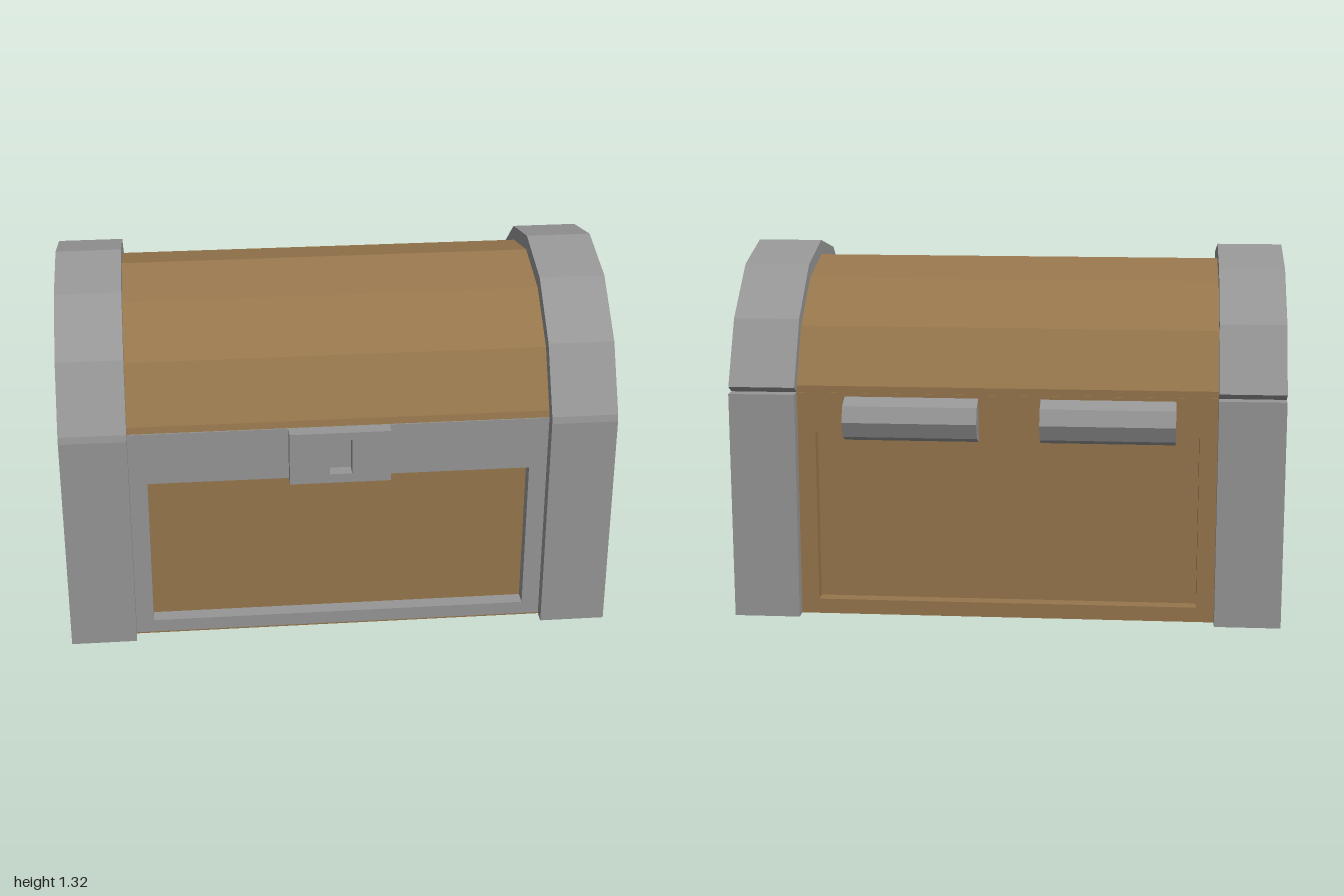
import * as THREE from 'three';

const metal = new THREE.MeshStandardMaterial({ color: 0x969696 });
metal.name = 'grey metal';
const wood = new THREE.MeshStandardMaterial({ color: 0x96764c });
wood.name = 'brown wood';

function rectPath(path, a0, a1, b0, b1) {
  path.moveTo(a0, b0);
  path.lineTo(a1, b0);
  path.lineTo(a1, b1);
  path.lineTo(a0, b1);
  path.closePath();
  return path;
}

// Rectangle with a rectangular opening, each given as [min, max, bottom, top]
function frameShape(outer, hole) {
  const shape = rectPath(new THREE.Shape(), ...outer);
  shape.holes.push(rectPath(new THREE.Path(), ...hole));
  return shape;
}

// Extrude an XY shape between two z positions
function extrudeZ(shape, z0, z1) {
  const g = new THREE.ExtrudeGeometry(shape, { depth: z1 - z0, bevelEnabled: false });
  return g.translate(0, 0, z0);
}

// Extrude a (z, y) shape between two x positions
function extrudeX(shape, x0, x1) {
  const g = new THREE.ExtrudeGeometry(shape, { depth: x1 - x0, bevelEnabled: false });
  return g.rotateY(-Math.PI / 2).translate(x1, 0, 0);
}

function box(x0, x1, y0, y1, z0, z1) {
  return new THREE.BoxGeometry(x1 - x0, y1 - y0, z1 - z0)
    .translate((x0 + x1) / 2, (y0 + y1) / 2, (z0 + z1) / 2);
}

const profile = (points) => new THREE.Shape(points.map(([z, y]) => new THREE.Vector2(z, y)));

export function createModel() {
  const group = new THREE.Group();
  const add = (name, geometry, material) => {
    const mesh = new THREE.Mesh(geometry, material);
    mesh.name = name;
    group.add(mesh);
  };

  const inner = 0.76, rim = 0.835, front = 0.57, back = -0.545;

  // Wooden body with a metal front frame and a wooden back frame
  add('body', box(-inner, inner, 0.005, rim, back + 0.05, front - 0.055), wood);
  add('floor', box(-inner, inner, 0, 0.005, back, front), wood);
  add('frontFrame', extrudeZ(
    frameShape([-inner, inner, 0.005, rim], [-0.695, 0.695, 0.055, 0.635]), front - 0.055, front), metal);
  add('backFrame', extrudeZ(
    frameShape([-inner, inner, 0.005, rim], [-0.695, 0.695, 0.055, 0.69]), back, back + 0.05), wood);

  // Faceted barrel lid
  add('lid', extrudeX(profile([
    [0.565, rim], [0.56, 0.86], [0.445, 1.06], [0.25, 1.21], [0.01, 1.265],
    [-0.23, 1.21], [-0.43, 1.06], [-0.543, 0.86], [-0.543, rim],
  ]), -inner, inner), wood);

  // Metal ends with recessed wooden side panels and lid bands
  const lidBand = profile([
    [0.62, rim], [0.615, 0.86], [0.485, 1.09], [0.275, 1.26], [0.01, 1.32],
    [-0.25, 1.26], [-0.465, 1.09], [-0.59, 0.86], [-0.545, rim],
  ]);
  const sideFrame = frameShape([-0.595, 0.62, 0, rim], [-0.485, 0.515, 0.055, 0.775]);
  for (const [side, s] of [['left', 1], ['right', -1]]) {
    const span = (a, b) => (s > 0 ? [a, b] : [-b, -a]);
    const [c0, c1] = span(inner, 0.935);
    const [p0, p1] = span(0.935, 0.94);
    add(side + 'EndPost', box(c0, c1, 0, rim, -0.595, 0.62), metal);
    add(side + 'EndFrame', extrudeX(sideFrame, ...span(0.935, 1)), metal);
    add(side + 'EndPanel', box(p0, p1, 0.055, 0.775, -0.485, 0.515), wood);
    add(side + 'LidBand', extrudeX(lidBand, ...span(inner, 1)), metal);
  }

  // Lock plate with a keyhole recess
  add('lockPlate', extrudeZ(
    frameShape([-0.185, 0.18, 0.635, rim], [-0.04, 0.04, 0.67, 0.805]), front, 0.62), metal);

  // Eight-sided hinge barrels half sunk into the back
  for (const [name, x] of [['rightHinge', -0.3675], ['leftHinge', 0.3425]]) {
    const g = new THREE.CylinderGeometry(0.08, 0.08, 0.485, 8).toNonIndexed();
    g.rotateZ(Math.PI / 2).translate(x, 0.742, back);
    g.computeVertexNormals();
    add(name, g, metal);
  }

  return group;
}
